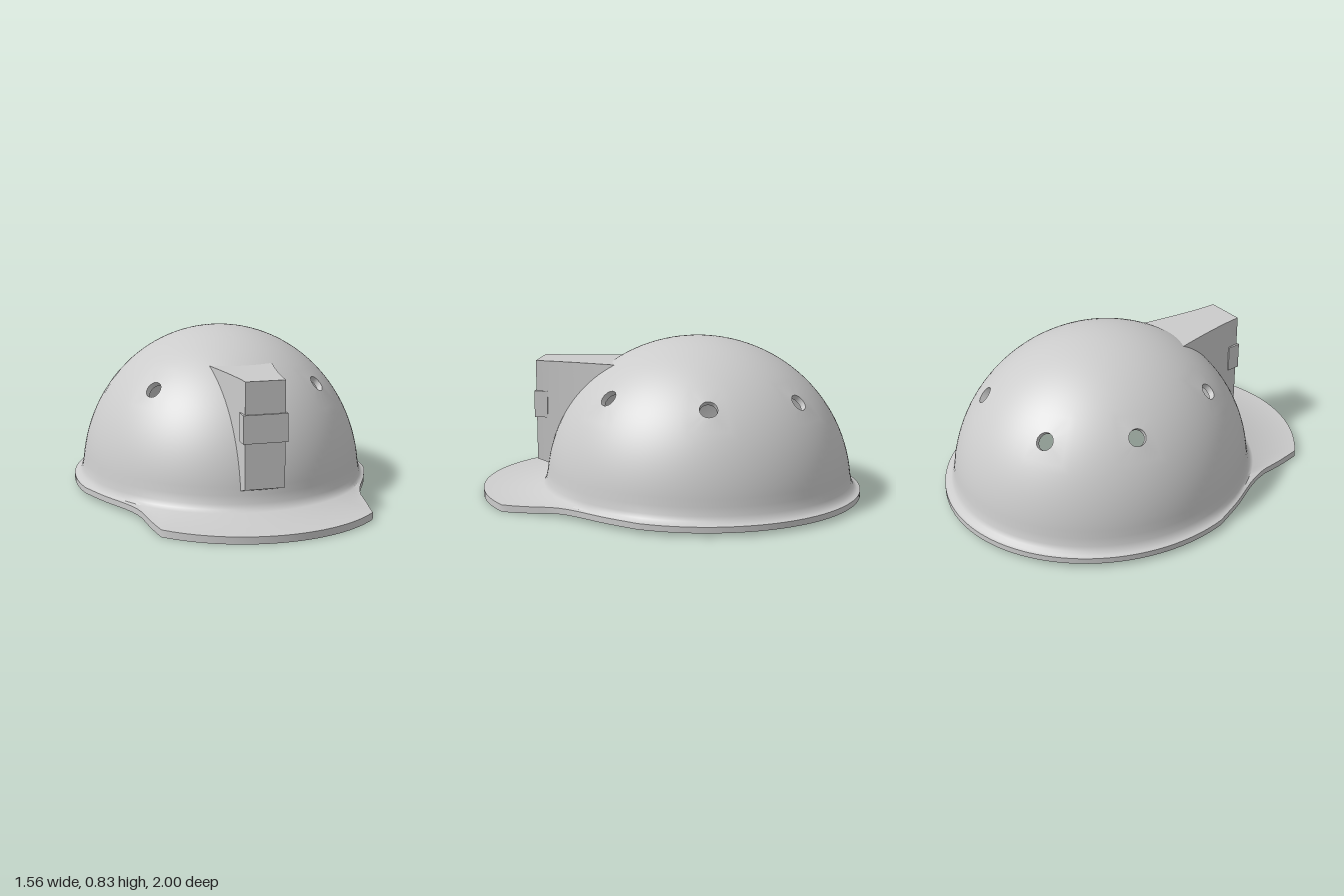
import * as THREE from 'three';
import { toCreasedNormals } from 'three/addons/utils/BufferGeometryUtils.js';

const DEG = Math.PI / 180;
const N = 120;                 // columns around the shell
const STEP = 360 / N * DEG;
const RX = 0.735, RZ = 0.8, RY = 0.785, Y0 = 0.05, ZC = -0.15, WALL = 0.03;
const RIM_ROWS = 4, ROWS = 33; // rim rows, then one dome row every 3 degrees up to the crown

const mat = () => new THREE.MeshStandardMaterial({ color: 0xcccccc, side: THREE.DoubleSide });

function addMesh(group, name, geometry) {
  const mesh = new THREE.Mesh(geometry, mat());
  mesh.name = name;
  group.add(mesh);
  return mesh;
}

// Dome point for azimuth a and elevation e, on the outer or inner skin
function dome(a, e, inner) {
  const t = inner ? WALL : 0, c = Math.cos(e);
  return new THREE.Vector3((RX - t) * c * Math.cos(a), Y0 + (RY - t) * Math.sin(e), ZC + (RZ - t) * c * Math.sin(a));
}

// Side of the outline, sweeping from the oval rim out to the visor corner
const flank = new THREE.CatmullRomCurve3([
  [0.763, 0.027], [0.695, 0.2], [0.605, 0.385], [0.566, 0.5], [0.553, 0.6], [0.525, 0.77],
].map(([x, z]) => new THREE.Vector3(x, 0, z)));

// Plan outline of brim and visor for column i
function outline(i) {
  const c = Math.cos(i * STEP), s = Math.sin(i * STEP);
  const deg = Math.atan2(s, Math.abs(c)) / DEG;
  const side = c < 0 ? -1 : 1;
  if (deg <= 12.01) return new THREE.Vector3(0.78 * c, 0, ZC + 0.85 * s);
  if (deg < 56.99) {
    const p = flank.getPointAt((deg - 12) / 45);
    p.x *= side;
    return p;
  }
  const arc = Math.asin(0.525 / 0.725) * (90 - deg) / 33;
  return new THREE.Vector3(side * 0.725 * Math.sin(arc), 0, 0.27 + 0.725 * Math.cos(arc));
}

// Rim rows: [share of the flare width, height] from the edge up to the dome
const OUTER_RIM = [[0.65, 0.054], [0.3, 0.068], [0.08, 0.09]];
const INNER_RIM = [[0.6, 0.024], [0.15, 0.035], [-0.5, 0.068]];

function skin(inner) {
  const rows = [];
  for (let j = 0; j <= ROWS; j++) rows.push([]);
  for (let i = 0; i < N; i++) {
    const a = i * STEP;
    const edge = outline(i);
    const base = new THREE.Vector3(RX * Math.cos(a), 0, ZC + RZ * Math.sin(a));
    const out = edge.clone().sub(base);
    const width = Math.min(out.length(), 0.055);
    out.normalize();
    const drop = THREE.MathUtils.smoothstep(edge.z, 0.4, 0.75);
    edge.y = inner ? 0.02 - 0.02 * drop : 0.05 - 0.014 * drop;
    rows[0].push(edge);
    (inner ? INNER_RIM : OUTER_RIM).forEach(([f, y], k) => {
      const p = base.clone().addScaledVector(out, width * f);
      p.y = y;
      rows[k + 1].push(p);
    });
    for (let j = RIM_ROWS; j < ROWS; j++) rows[j].push(dome(a, elevation(j), inner));
    rows[ROWS].push(dome(0, Math.PI / 2, inner));
  }
  return rows;
}

function elevation(j) {
  return j >= ROWS ? Math.PI / 2 : (6 + 3 * (j - RIM_ROWS)) * 84 / 87 * DEG + 0.2 * DEG;
}

// Vent holes by plan position; each replaces a 6 x 6 patch of cells
const HOLES = [[0.41, 0.24], [0.54, -0.28], [0.26, -0.69], [-0.27, -0.69], [-0.53, -0.33], [-0.435, 0.2]].map(([x, z]) => {
  const u = x / RX, v = (z - ZC) / RZ;
  const a = Math.atan2(v, u), e = Math.acos(Math.hypot(u, v));
  const ic = Math.round(a / STEP);
  let jc = RIM_ROWS;
  while (Math.abs(elevation(jc + 1) - e) < Math.abs(elevation(jc) - e)) jc++;
  // patch border, counter-clockwise
  const border = [];
  for (let k = -3; k < 3; k++) border.push([ic + k, jc - 3]);
  for (let k = -3; k < 3; k++) border.push([ic + 3, jc + k]);
  for (let k = 3; k > -3; k--) border.push([ic + k, jc + 3]);
  for (let k = 3; k > -3; k--) border.push([ic - 3, jc + k]);
  // hole edge points facing each border point
  const r = 0.043, sa = 0.765 * Math.cos(e), se = 0.76;
  const ring = border.map(([i, j]) => {
    const t = Math.atan2((elevation(j) - e) * se, (i * STEP - a) * sa);
    return [a + r * Math.cos(t) / sa, e + r * Math.sin(t) / se];
  });
  return { ic, jc, border, ring };
});

const wrap = (i) => ((i % N) + N) % N;

function shellGeometry() {
  const pos = [];
  const tri = (...ps) => ps.forEach((p) => pos.push(p.x, p.y, p.z));
  const quad = (a, b, c, d, flip) => {
    if (flip) [b, d] = [d, b];
    tri(a, b, c);
    tri(a, c, d);
  };
  const cut = new Set();
  for (const { ic, jc } of HOLES)
    for (let i = -3; i < 3; i++)
      for (let j = -3; j < 3; j++) cut.add(`${wrap(ic + i)},${jc + j}`);

  const outer = skin(false), inner = skin(true);
  for (const rows of [outer, inner]) {
    const flip = rows === inner;
    for (let i = 0; i < N; i++) {
      const n = wrap(i + 1);
      for (let j = 0; j < ROWS - 1; j++)
        if (!cut.has(`${i},${j}`)) quad(rows[j][i], rows[j + 1][i], rows[j + 1][n], rows[j][n], flip);
      // crown
      const [p, q] = flip ? [n, i] : [i, n];
      tri(rows[ROWS - 1][p], rows[ROWS][0], rows[ROWS - 1][q]);
    }
    // skin around each vent
    for (const { border, ring } of HOLES) {
      const b = border.map(([i, j]) => rows[j][wrap(i)]);
      const r = ring.map(([a, e]) => dome(a, e, flip));
      b.forEach((_, k) => {
        const n = (k + 1) % b.length;
        quad(r[k], r[n], b[n], b[k], flip);
      });
    }
  }
  // outer edge of brim and visor
  for (let i = 0; i < N; i++) {
    const n = wrap(i + 1);
    quad(inner[0][i], outer[0][i], outer[0][n], inner[0][n]);
  }
  // vent walls through the shell
  for (const { ring } of HOLES) {
    const o = ring.map(([a, e]) => dome(a, e, false));
    const w = ring.map(([a, e]) => dome(a, e, true));
    o.forEach((_, k) => {
      const n = (k + 1) % o.length;
      quad(o[k], w[k], w[n], o[n]);
    });
  }
  const g = new THREE.BufferGeometry();
  g.setAttribute('position', new THREE.Float32BufferAttribute(pos, 3));
  return toCreasedNormals(g, 0.75);
}

// Lamp bracket: a box that widens towards the back and follows the dome there
function bracketGeometry() {
  const FRONT = 0.695;
  const half = (z) => 0.1 + 0.06 * Math.pow(Math.max(0, FRONT - z) / 0.42, 1.4);
  const g = new THREE.BoxGeometry(2, 1, 1, 8, 18, 10);
  const p = g.attributes.position;
  for (let i = 0; i < p.count; i++) {
    const X = p.getX(i), Y = p.getY(i) + 0.5, Z = p.getZ(i) + 0.5;
    const yBack = 0.15 + 0.55 * Y;
    const y = yBack + 0.022 * Z * (1 - Y);
    const level = 1 - ((y - Y0) / RY) ** 2;
    let back = 0.4;
    for (let k = 0; k < 8; k++)
      back = ZC + RZ * Math.sqrt(level - (X * half(back) / RX) ** 2) - 0.012;
    const z = back + (FRONT - back) * Z;
    p.setXYZ(i, X * half(z), y, z);
  }
  return toCreasedNormals(g, 0.5);
}

export function createModel() {
  const helmet = new THREE.Group();
  helmet.name = 'helmet';
  addMesh(helmet, 'shellWithVisor', shellGeometry());
  addMesh(helmet, 'lampBracket', bracketGeometry());
  // clip wrapped around the bracket
  addMesh(helmet, 'bracketClip', new THREE.BoxGeometry(0.222, 0.14, 0.07)).position.set(0, 0.47, 0.669);
  return helmet;
}
